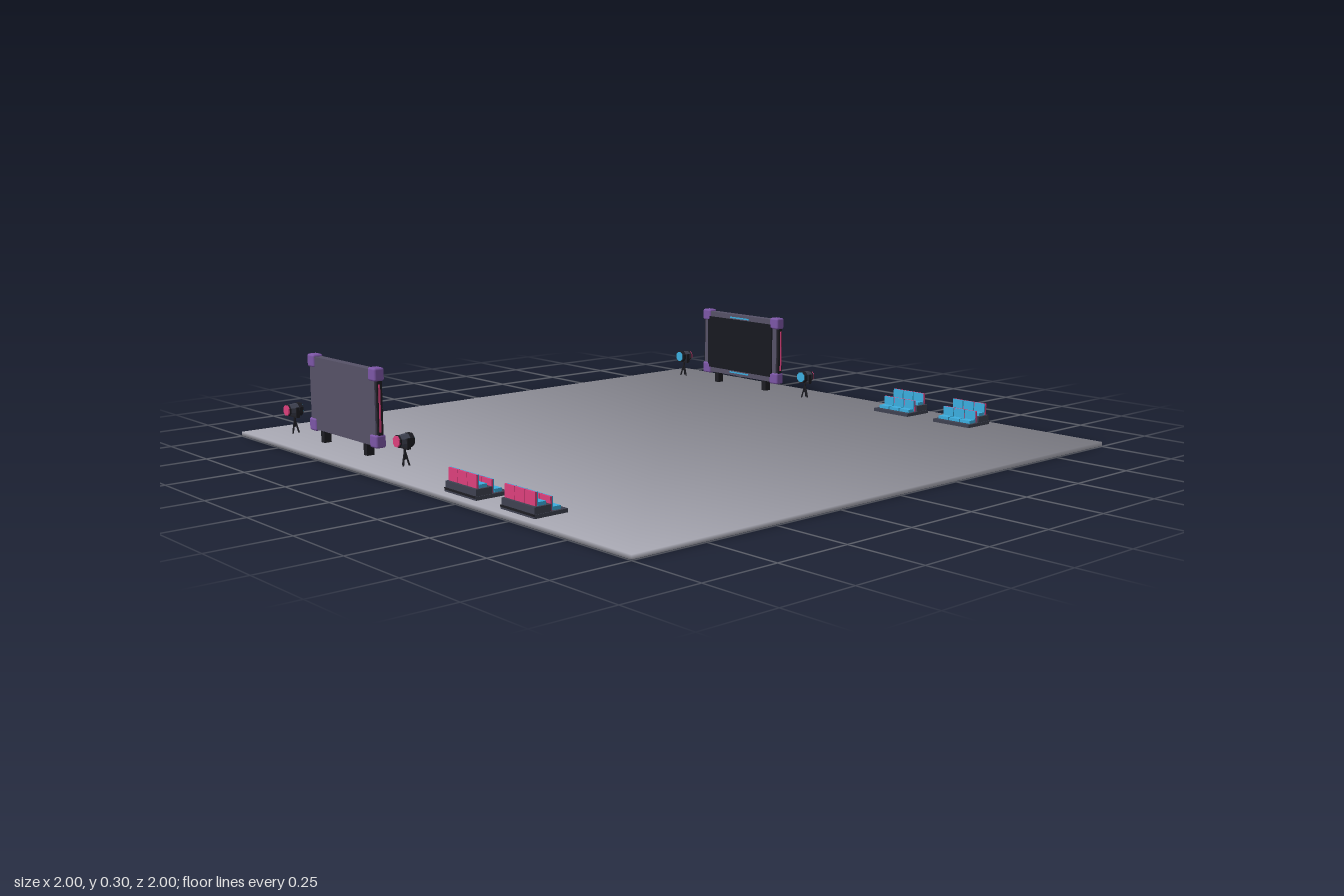
import * as THREE from 'three';
import { RoundedBoxGeometry } from 'three/addons/geometries/RoundedBoxGeometry.js';

const mat = (name, color) => {
  const m = new THREE.MeshStandardMaterial({ color });
  m.name = name;
  return m;
};

export function createModel() {
  const floorGrey = mat('floor grey', 0xadadb8);
  const panelGrey = mat('panel grey', 0x565167);
  const black = mat('black', 0x1d1d23);
  const baseGrey = mat('base grey', 0x3e4150);
  const purple = mat('purple', 0x7c56a6);
  const blue = mat('blue', 0x3badde);
  const pink = mat('pink', 0xdc3f7c);
  const screenBlack = mat('screen black', 0x171920);

  const model = new THREE.Group();
  model.name = 'arena';

  const add = (parent, name, geometry, material, x, y, z) => {
    const m = new THREE.Mesh(geometry, material);
    m.name = name;
    m.position.set(x, y, z);
    parent.add(m);
    return m;
  };
  const box = (parent, name, material, w, h, d, x, y, z) =>
    add(parent, name, new THREE.BoxGeometry(w, h, d), material, x, y, z);
  // Round bar between two points
  const rod = (parent, name, material, r, a, b) => {
    const dir = b.clone().sub(a);
    const m = add(parent, name, new THREE.CylinderGeometry(r, r, dir.length(), 6), material, 0, 0, 0);
    m.position.copy(a).add(b).multiplyScalar(0.5);
    m.quaternion.setFromUnitVectors(new THREE.Vector3(0, 1, 0), dir.normalize());
  };

  // Every unit is built facing -x, its outer side towards +x
  function createScreen() {
    const g = new THREE.Group();
    g.name = 'videoScreen';
    box(g, 'screenBody', panelGrey, 0.028, 0.238, 0.39, 0, 0.172, 0);
    box(g, 'display', screenBlack, 0.004, 0.2, 0.35, -0.0155, 0.172, 0);
    for (const s of [-1, 1]) {
      box(g, 'sideFrame', black, 0.018, 0.17, 0.014, 0, 0.172, s * 0.196);
      box(g, 'sideLight', pink, 0.005, 0.15, 0.004, 0.002, 0.172, s * 0.204);
      box(g, 'displayTrim', blue, 0.003, 0.005, 0.1, -0.017, 0.172 + s * 0.107, 0);
      for (const y of [0.068, 0.277])
        add(g, 'cornerBlock', new RoundedBoxGeometry(0.036, 0.042, 0.042, 2, 0.007), purple, 0, y, s * 0.184);
      box(g, 'screenLeg', black, 0.026, 0.055, 0.02, 0, 0.0275, s * 0.13);
      box(g, 'screenFoot', black, 0.065, 0.012, 0.022, 0, 0.006, s * 0.13);
    }
    return g;
  }

  function createSpotlight() {
    const g = new THREE.Group();
    g.name = 'spotlight';
    const top = new THREE.Vector3(0, 0.062, 0);
    // Tripod
    for (let i = 0; i < 3; i++) {
      const a = Math.PI / 2 + (i * Math.PI * 2) / 3;
      rod(g, 'tripodLeg', black, 0.0028, top,
        new THREE.Vector3(Math.cos(a) * 0.016, 0.004, Math.sin(a) * 0.016));
    }
    rod(g, 'tripodPost', black, 0.004, new THREE.Vector3(0, 0.035, 0), new THREE.Vector3(0, 0.072, 0));
    // Yoke arms
    for (const s of [-1, 1]) box(g, 'yokeArm', black, 0.012, 0.032, 0.004, 0, 0.087, s * 0.024);
    box(g, 'yokeBar', black, 0.012, 0.004, 0.05, 0, 0.07, 0);
    // Lamp head along x
    const drum = (name, material, rOut, rIn, len, x) => {
      const geo = new THREE.CylinderGeometry(rOut, rIn, len, 8).toNonIndexed();
      geo.rotateY(Math.PI / 8).rotateZ(-Math.PI / 2);
      geo.computeVertexNormals();
      add(g, name, geo, material, x, 0.093, 0);
    };
    drum('lampBody', baseGrey, 0.018, 0.022, 0.036, 0.006);
    drum('lampRim', black, 0.023, 0.023, 0.014, -0.016);
    drum('lens', blue, 0.019, 0.019, 0.004, -0.0235);
    drum('backRing', black, 0.02, 0.02, 0.005, 0.023);
    drum('backCap', pink, 0.018, 0.018, 0.007, 0.027);
    return g;
  }

  function createStand() {
    const g = new THREE.Group();
    g.name = 'seatStand';
    box(g, 'standBase', baseGrey, 0.112, 0.026, 0.152, 0, 0.013, 0);
    box(g, 'rearTier', baseGrey, 0.056, 0.024, 0.148, 0.026, 0.034, 0);
    box(g, 'baseTrim', black, 0.003, 0.006, 0.15, 0.0565, 0.024, 0);
    // Two tiers of three seats
    [[-0.026, 0.026], [0.024, 0.046]].forEach(([x, y]) => {
      for (let i = -1; i <= 1; i++) {
        const z = i * 0.046;
        box(g, 'seat', blue, 0.026, 0.01, 0.041, x, y + 0.005, z);
        box(g, 'seatBackFront', blue, 0.004, 0.038, 0.042, x + 0.0155, y + 0.02, z);
        box(g, 'seatBackRear', pink, 0.006, 0.038, 0.044, x + 0.0205, y + 0.02, z);
      }
    });
    return g;
  }

  // Floor slab with soft corner normals, a hair above the undersides of the units
  const slab = new THREE.BoxGeometry(2, 0.013, 2);
  const corners = slab.attributes.position;
  for (let i = 0; i < corners.count; i++) {
    const n = new THREE.Vector3(
      Math.sign(corners.getX(i)), Math.sign(corners.getY(i)), Math.sign(corners.getZ(i))).normalize();
    slab.attributes.normal.setXYZ(i, n.x, n.y, n.z);
  }
  add(model, 'floor', slab, floorGrey, 0, 0.0085, 0);

  // Both long sides carry the same units, turned to face the middle
  for (const side of [-1, 1]) {
    const place = (unit, x, z) => {
      unit.position.set(side * x, 0, z);
      if (side < 0) unit.rotation.y = Math.PI;
      model.add(unit);
    };
    place(createScreen(), 0.874, -0.535);
    for (const z of [-0.2, -0.87]) place(createSpotlight(), 0.874, z);
    for (const z of [0.23, 0.497]) place(createStand(), 0.914, z);
  }
  return model;
}
